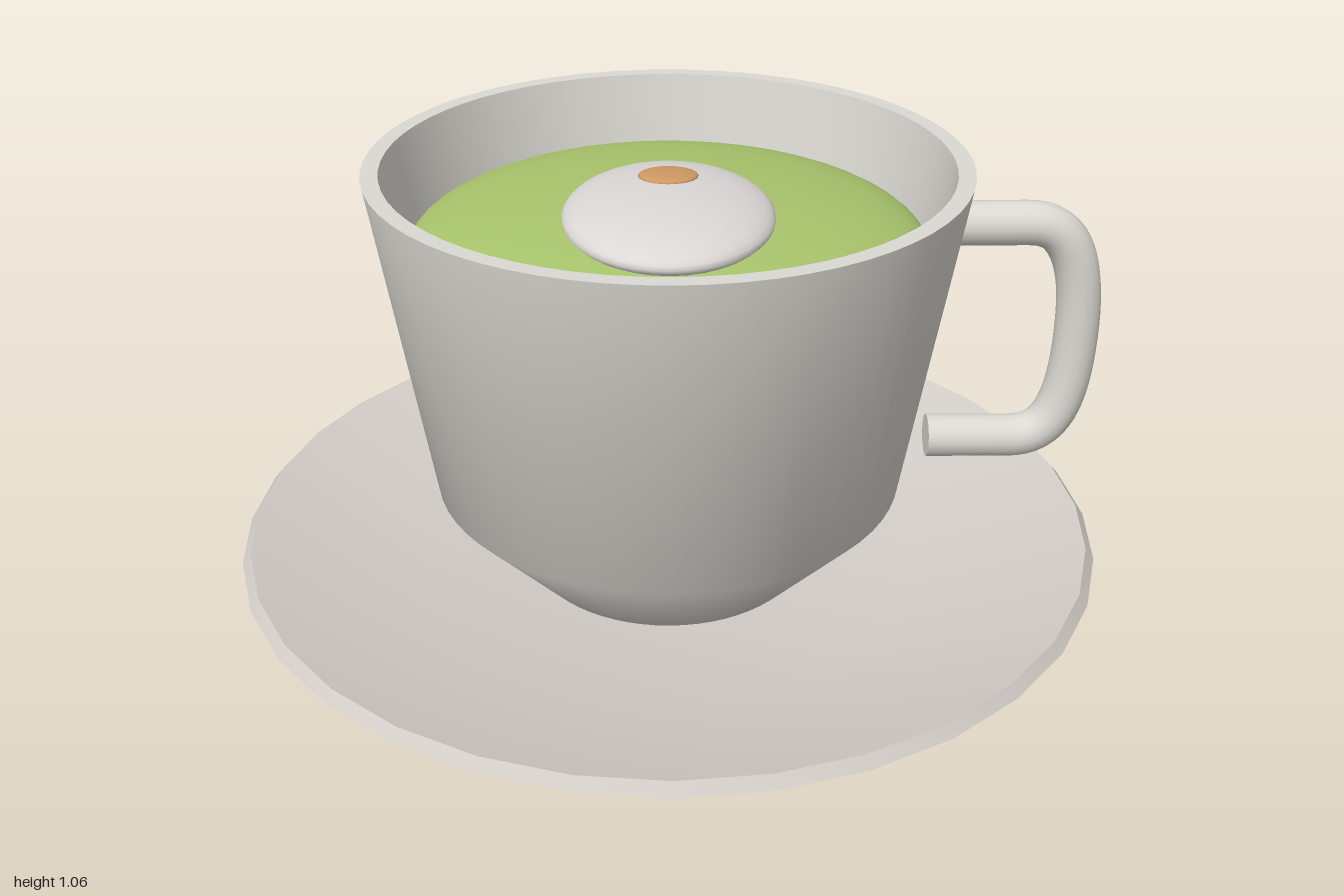
import * as THREE from 'three';
import { toCreasedNormals } from 'three/addons/utils/BufferGeometryUtils.js';

const paint = (name, color) => {
  const m = new THREE.MeshStandardMaterial({ color });
  m.name = name;
  return m;
};

export function createModel() {
  const group = new THREE.Group();
  const porcelain = paint('porcelain', 0xdbd9d2);
  const saucerGlaze = paint('saucerGlaze', 0xd3cdc8);
  const tea = paint('greenTea', 0xa8c46c);
  const cream = paint('cream', 0xdbd8d6);
  const caramel = paint('caramel', 0xd09a62);

  const add = (name, geometry, material, parent = group) => {
    const mesh = new THREE.Mesh(geometry, material);
    mesh.name = name;
    parent.add(mesh);
    return mesh;
  };
  // Turned part: profile runs from the underside outward, up and back in
  const turned = (profile, sides) => toCreasedNormals(
    new THREE.LatheGeometry(profile.map(([r, y]) => new THREE.Vector2(r, y)), sides), 0.9);

  // Saucer: flat foot, sloping flange, thin rim and a shallow well
  add('saucer', turned([
    [0, 0], [0.6, 0], [0.62, 0.04], [1, 0.155], [0.98, 0.18], [0.6, 0.07], [0, 0.07],
  ], 32), saucerGlaze);

  // Cup: narrow base, flared wall, flat lip and hollow inside
  add('cup', turned([
    [0, 0.06], [0.32, 0.06], [0.54, 0.3], [0.66, 1.06], [0.622, 1.06], [0.575, 0.8], [0, 0.8],
  ], 64), porcelain);

  // Handle: round tube bent into a squared loop, with closed ends
  const handle = new THREE.Group();
  handle.name = 'handle';
  group.add(handle);
  const v = (x, y) => new THREE.Vector3(x, y, 0);
  const path = new THREE.CurvePath();
  path.add(new THREE.LineCurve3(v(0.62, 0.912), v(0.8, 0.912)));
  path.add(new THREE.CubicBezierCurve3(v(0.8, 0.912), v(0.9, 0.912), v(0.93, 0.8), v(0.93, 0.645)));
  path.add(new THREE.CubicBezierCurve3(v(0.93, 0.645), v(0.93, 0.47), v(0.9, 0.376), v(0.8, 0.376)));
  path.add(new THREE.LineCurve3(v(0.8, 0.376), v(0.605, 0.376)));
  add('handleBar', new THREE.TubeGeometry(path, 60, 0.05, 16), porcelain, handle);
  for (const [x, y] of [[0.62, 0.912], [0.605, 0.376]]) {
    const cap = add('handleEnd', new THREE.CircleGeometry(0.05, 16), porcelain, handle);
    cap.position.set(x, y, 0);
    cap.rotation.y = -Math.PI / 2;
  }

  // Tea: low dome filling the cup
  const surface = add('tea',
    new THREE.SphereGeometry(1, 48, 16, 0, Math.PI * 2, 0, Math.PI / 2), tea);
  surface.scale.set(0.575, 0.12, 0.575);
  surface.position.y = 0.87;

  // Oval cream dollop floating on the tea
  const dollop = add('creamDollop', new THREE.SphereGeometry(1, 40, 20), cream);
  dollop.scale.set(0.23, 0.06, 0.297);
  dollop.position.set(0, 0.972, 0.1);

  // Small caramel spot, leaning with the cream below it
  const spot = add('caramelSpot', new THREE.SphereGeometry(1, 20, 10), caramel);
  spot.scale.set(0.066, 0.01, 0.066);
  spot.position.set(0, 1.027, 0.005);
  spot.rotation.x = -0.07;

  return group;
}
